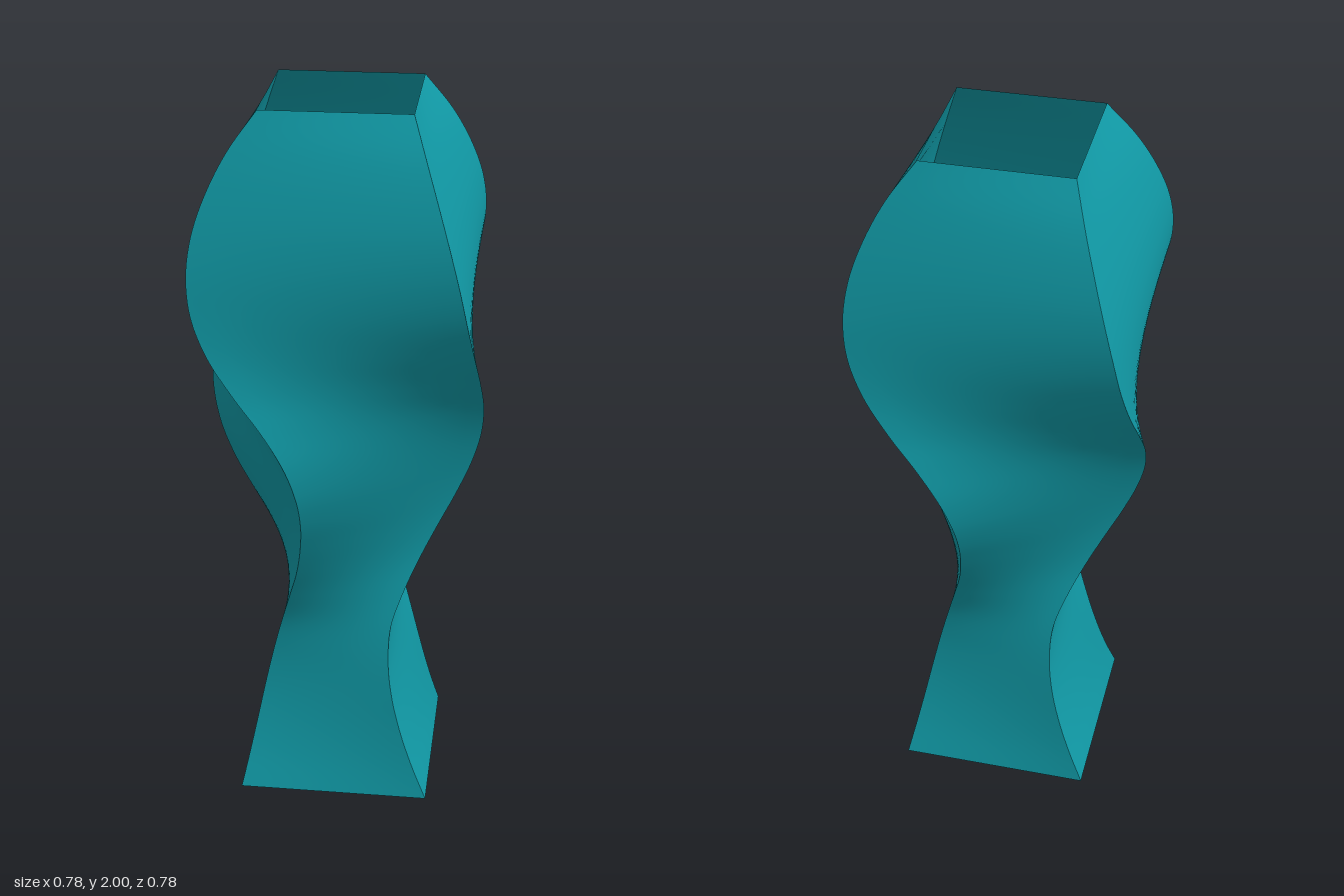
import * as THREE from 'three';

// Path of one corner edge of the twisted square vase: x, y, z
const EDGE = [
  [0.242, 0, 0.291], [0.2, 0.1, 0.266], [0.166, 0.2, 0.243], [0.142, 0.3, 0.221],
  [0.131, 0.4, 0.198], [0.137, 0.5, 0.173], [0.171, 0.6, 0.148], [0.216, 0.7, 0.125],
  [0.265, 0.8, 0.112], [0.314, 0.9, 0.108], [0.353, 1, 0.119], [0.375, 1.1, 0.15],
  [0.377, 1.2, 0.205], [0.363, 1.3, 0.278], [0.342, 1.4, 0.343], [0.32, 1.5, 0.382],
  [0.298, 1.6, 0.392], [0.272, 1.7, 0.378], [0.243, 1.8, 0.342], [0.212, 1.9, 0.288],
  [0.18, 2, 0.212],
];

export function createModel() {
  const vase = new THREE.Group();
  vase.name = 'twistedVase';
  const material = new THREE.MeshStandardMaterial({ color: 0x1097a3, side: THREE.DoubleSide });
  const curve = new THREE.CatmullRomCurve3(EDGE.map((p) => new THREE.Vector3(...p)));

  // One side: straight across between neighbouring corner edges, smooth along its height
  const wall = new THREE.PlaneGeometry(1, 1, 12, 120);
  const pos = wall.attributes.position;
  const right = new THREE.Vector3();
  for (let i = 0; i < pos.count; i++) {
    const u = pos.getX(i) + 0.5;
    curve.getPoint(pos.getY(i) + 0.5, right);
    // The left corner is the right one turned by a quarter
    pos.setXYZ(i,
      THREE.MathUtils.lerp(-right.z, right.x, u),
      right.y,
      THREE.MathUtils.lerp(right.x, right.z, u));
  }
  wall.computeVertexNormals();

  for (let k = 0; k < 4; k++) {
    const side = new THREE.Mesh(wall, material);
    side.name = `wall${k + 1}`;
    side.rotation.y = k * Math.PI / 2;
    vase.add(side);
  }

  // Closed floor, open top
  const [x, , z] = EDGE[0];
  const square = new THREE.Shape([[x, z], [-z, x], [-x, -z], [z, -x]].map((p) => new THREE.Vector2(...p)));
  const floor = new THREE.Mesh(new THREE.ShapeGeometry(square).rotateX(Math.PI / 2), material);
  floor.name = 'floor';
  vase.add(floor);

  return vase;
}
